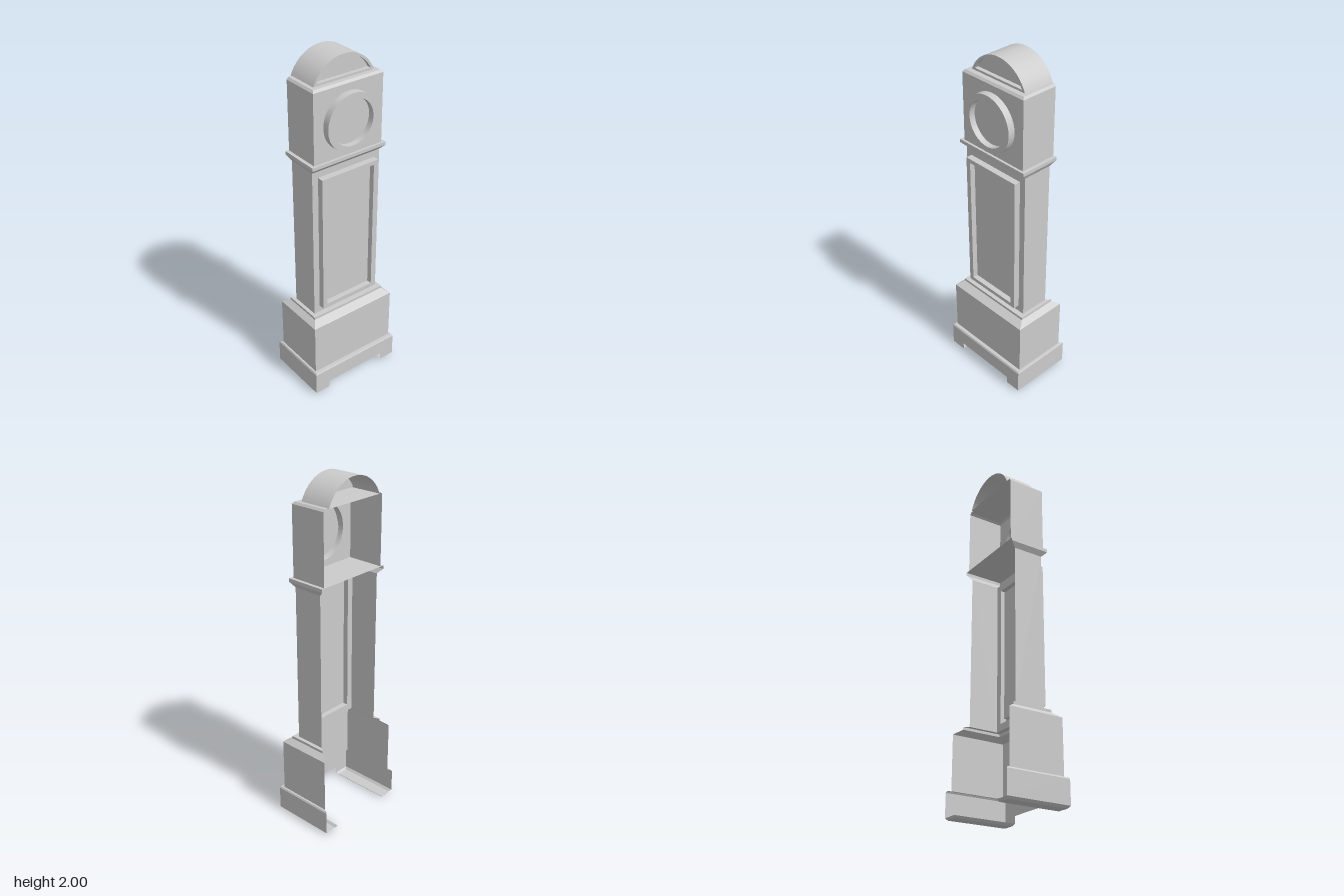
import * as THREE from 'three';
import { toCreasedNormals } from 'three/addons/utils/BufferGeometryUtils.js';

const material = new THREE.MeshStandardMaterial({ color: 0xcccccc, side: THREE.DoubleSide });

// Skin a series of cross-section rings with quads; edges over 30 degrees stay sharp
function loft(rings, closed, skip = -1) {
  const pos = [];
  for (let i = 0; i < rings.length - 1; i++) {
    const lower = rings[i], upper = rings[i + 1], n = lower.length;
    for (let j = 0; j < (closed ? n : n - 1); j++) {
      if (j === skip) continue;
      const k = (j + 1) % n;
      pos.push(...lower[j], ...lower[k], ...upper[k], ...lower[j], ...upper[k], ...upper[j]);
    }
  }
  const geo = new THREE.BufferGeometry();
  geo.setAttribute('position', new THREE.Float32BufferAttribute(pos, 3));
  return toCreasedNormals(geo, Math.PI / 6);
}

// Horizontal ring running from the back around the front to the back
const plan = ([y, xb, xf, z0, z1 = -z0]) => [[xb, y, z0], [xf, y, z0], [xf, y, z1], [xb, y, z1]];
// Upright rectangular ring facing +x
const frame = (x, y0, y1, z) => [[x, y1, -z], [x, y1, z], [x, y0, z], [x, y0, -z]];
// Segmental arch outline, inset by d, cut off at height base
function arch(x, d, base) {
  const r = 0.204 - d, cy = 1.796, a0 = Math.asin((base - cy) / r), n = 32;
  return Array.from({ length: n + 1 }, (_, i) => {
    const a = Math.PI - a0 - (Math.PI - 2 * a0) * i / n;
    return [x, cy + r * Math.sin(a), r * Math.cos(a)];
  });
}
// Flat shape turned to face +x
const facing = (shape, x) => new THREE.ShapeGeometry(shape, 48).rotateY(Math.PI / 2).translate(x, 0, 0);
const polygon = (pts) => new THREE.Shape(pts.map(([a, b]) => new THREE.Vector2(a, b)));
const rect = (y0, y1, z) => polygon([[-z, y0], [z, y0], [z, y1], [-z, y1]]);
// Horizontal sheet
const sheet = (y, xb, xf, z) =>
  new THREE.PlaneGeometry(xf - xb, 2 * z).rotateX(-Math.PI / 2).translate((xb + xf) / 2, y, 0);

export function createModel() {
  const clock = new THREE.Group();
  clock.name = 'longcaseClock';
  const add = (name, geometry) => {
    const mesh = new THREE.Mesh(geometry, material);
    mesh.name = name;
    clock.add(mesh);
    return mesh;
  };

  // Plinth: side walls, notched front and two bevelled runner feet
  add('plinthSides', loft([[0.013, -0.188, 0.188, 0.29], [0.147, -0.188, 0.188, 0.29]].map(plan), false, 1));
  add('plinthFront', facing(polygon([
    [-0.29, 0.013], [-0.195, 0.013], [-0.195, 0.055], [0.195, 0.055],
    [0.195, 0.013], [0.29, 0.013], [0.29, 0.147], [-0.29, 0.147],
  ]), 0.188));
  for (const [name, z0, z1] of [['leftFoot', 0.29, 0.195], ['rightFoot', -0.195, -0.29]]) {
    const zm = (z0 + z1) / 2;
    add(name, loft([
      [0, 0, 0, zm, zm], [0, -0.176, 0.176, z0 - 0.012, z1 + 0.012], [0.013, -0.188, 0.188, z0, z1],
    ].map(plan), true));
  }

  // Base box with sloped shoulder, open at the back
  add('base', loft([
    [0.147, -0.188, 0.188, 0.29], [0.156, -0.183, 0.183, 0.285], [0.156, -0.163, 0.163, 0.275],
    [0.468, -0.163, 0.163, 0.275], [0.495, -0.118, 0.118, 0.243],
    [0.51, -0.118, 0.118, 0.243], [0.51, -0.09, 0.087, 0.222],
  ].map(plan), false));

  // Trunk: sides, front with door opening
  add('trunkSides', loft([[0.51, -0.09, 0.087, 0.222], [1.418, -0.09, 0.087, 0.222]].map(plan), false, 1));
  const trunkFront = rect(0.51, 1.418, 0.222);
  trunkFront.holes.push(rect(0.55, 1.38, 0.185));
  add('trunkFront', facing(trunkFront, 0.087));

  // Door: raised frame around a recessed panel
  add('doorFrame', loft([
    frame(0.087, 0.55, 1.38, 0.185), frame(0.124, 0.55, 1.38, 0.185),
    frame(0.124, 0.573, 1.357, 0.157), frame(0.092, 0.573, 1.357, 0.157),
  ], true));
  add('doorPanel', facing(rect(0.573, 1.357, 0.157), 0.092));

  // Cornice moulding and hood floor
  add('cornice', loft([
    [1.418, -0.09, 0.087, 0.222], [1.447, -0.12, 0.117, 0.24], [1.466, -0.12, 0.117, 0.24],
  ].map(plan), false));
  add('hoodFloor', sheet(1.466, -0.12, 0.117, 0.24));

  // Hood: sides, front with dial opening, bevelled top
  add('hoodSides', loft([[1.466, -0.116, 0.103, 0.22], [1.86, -0.116, 0.103, 0.22]].map(plan), false, 1));
  const hoodFront = rect(1.466, 1.86, 0.22);
  hoodFront.holes.push(new THREE.Path().absarc(0, 1.66, 0.16, 0, Math.PI * 2, true));
  add('hoodFront', facing(hoodFront, 0.103));
  add('hoodBevel', loft([[1.86, -0.116, 0.103, 0.22], [1.872, -0.116, 0.092, 0.21]].map(plan), false));
  add('hoodTop', sheet(1.872, -0.116, 0.092, 0.21));

  // Round bezel and recessed dial
  const bezel = new THREE.LatheGeometry(
    [[0.16, 0.103], [0.16, 0.143], [0.128, 0.143], [0.128, 0.108]].map(([r, h]) => new THREE.Vector2(r, h)), 64);
  bezel.rotateZ(-Math.PI / 2).translate(0, 1.66, 0);
  add('bezel', toCreasedNormals(bezel, Math.PI / 6));
  add('dial', new THREE.CircleGeometry(0.128, 64).rotateY(Math.PI / 2).translate(0.108, 1.66, 0));

  // Arched crest with recessed front panel
  add('crest', loft([
    arch(-0.124, 0, 1.871), arch(0.064, 0, 1.871), arch(0.064, 0.014, 1.884), arch(0.04, 0.014, 1.884),
  ], true));
  add('crestPanel', facing(polygon(arch(0, 0.014, 1.884).map(([, y, z]) => [z, y])), 0.04));

  return clock;
}
